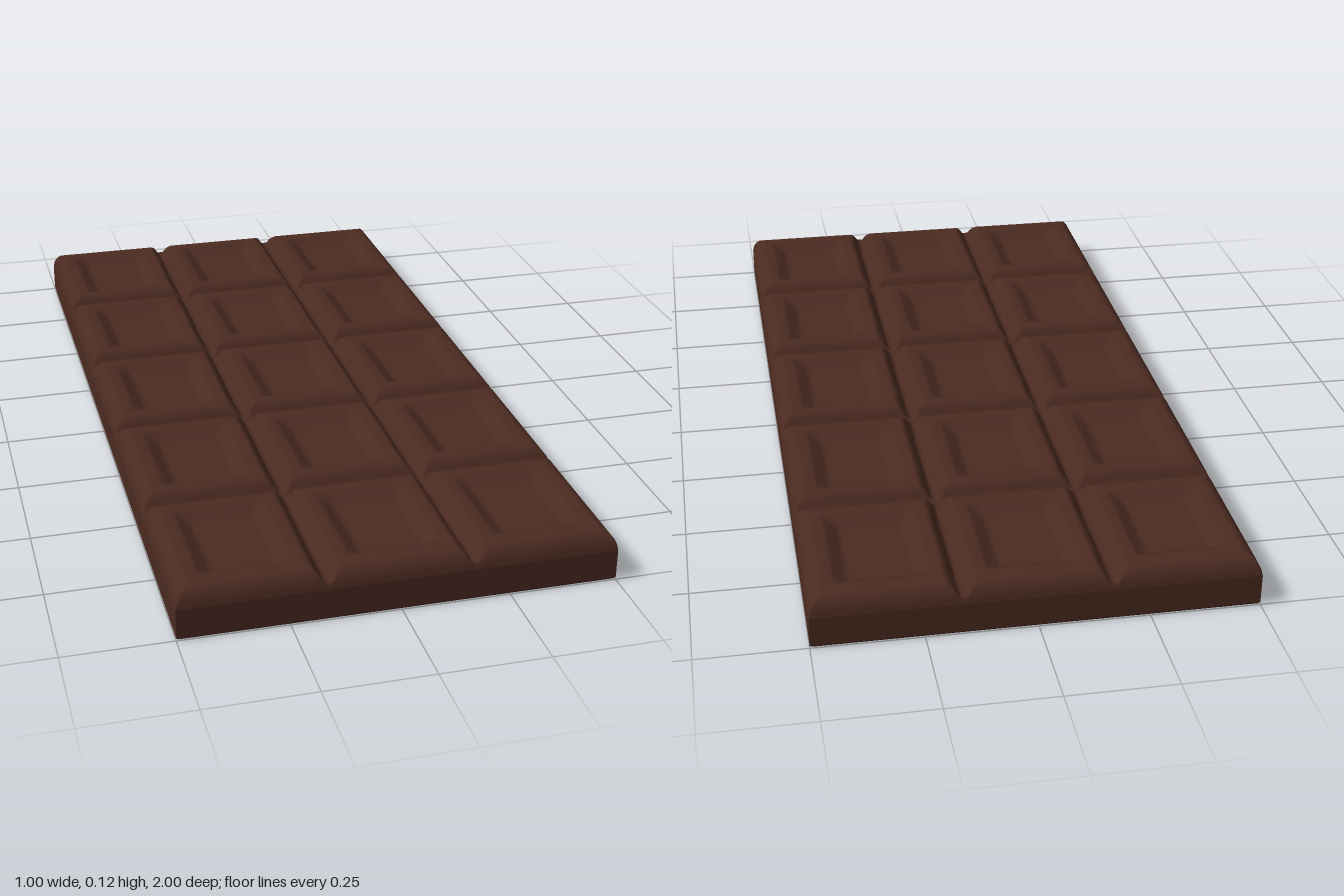
import * as THREE from 'three';

const W = 1, L = 2, COLS = 3, ROWS = 5;

// Distances inward from a tile's edge, with heights beside a groove or the bar's rim
const INSET = [0, 0.003, 0.008, 0.015, 0.022, 0.032, 0.037, 0.058, 0.066, 0.088, 0.096, 0.104];
const GROOVE = [0.09, 0.09, 0.091, 0.101, 0.113, 0.12];
const RIM = [0.075, 0.09, 0.101, 0.11, 0.116, 0.12];
// Heights of the sunken panel inside each tile
const PANEL = [0.12, 0.12, 0.117, 0.103, 0.1, 0.1];
const N = INSET.length;

// Grid lines along one axis: position, step inward, and height profile
function gridLines(length, count) {
  const size = length / count, lines = [];
  for (let t = 0; t < count; t++) {
    const start = -length / 2 + t * size;
    for (let k = 0; k < N; k++) {
      lines.push({ p: start + INSET[k], k, near: true, edge: t === 0 ? RIM : GROOVE });
    }
    for (let k = N - 1; k >= 0; k--) {
      if (k === 0 && t < count - 1) continue; // shared with the next tile
      lines.push({ p: start + size - INSET[k], k, near: false, edge: t === count - 1 ? RIM : GROOVE });
    }
  }
  return lines;
}

function heightAt(a, b) {
  const k = Math.min(a.k, b.k);
  if (k >= 6) return PANEL[k - 6];
  return Math.min(a.edge[a.k] ?? 0.12, b.edge[b.k] ?? 0.12);
}

// Moulded top with grooves and sunken panels
function tileSurface() {
  const xs = gridLines(W, COLS), zs = gridLines(L, ROWS);
  const pos = [], index = [];
  for (const b of zs) for (const a of xs) pos.push(a.p, heightAt(a, b), b.p);
  for (let j = 0; j < zs.length - 1; j++) {
    for (let i = 0; i < xs.length - 1; i++) {
      const a = j * xs.length + i, b = a + 1, c = a + xs.length, d = c + 1;
      // Diagonals follow the mitred corners
      if (xs[i].near === zs[j].near) index.push(a, c, d, a, d, b);
      else index.push(a, c, b, b, c, d);
    }
  }
  const g = new THREE.BufferGeometry();
  g.setAttribute('position', new THREE.Float32BufferAttribute(pos, 3));
  g.setIndex(index);
  g.computeVertexNormals();
  return g;
}

// Flat walls, small lower bevel and underside
function baseShell() {
  const ring = (inset, y) => [[1, 1], [1, -1], [-1, -1], [-1, 1]].map(
    ([x, z]) => [x * (W / 2 - inset), y, z * (L / 2 - inset)]);
  const rings = [ring(0, 0.075), ring(0, 0.006), ring(0.005, 0)];
  const pos = [];
  const quad = (a, b, c, d) => pos.push(...a, ...b, ...c, ...a, ...c, ...d);
  for (let r = 0; r < 2; r++) {
    for (let i = 0; i < 4; i++) {
      const n = (i + 1) % 4;
      quad(rings[r][i], rings[r + 1][i], rings[r + 1][n], rings[r][n]);
    }
  }
  const [a, b, c, d] = rings[2];
  quad(a, d, c, b);
  const g = new THREE.BufferGeometry();
  g.setAttribute('position', new THREE.Float32BufferAttribute(pos, 3));
  g.computeVertexNormals();
  return g;
}

export function createModel() {
  const chocolate = new THREE.MeshStandardMaterial({ color: 0x4b2b21 });
  chocolate.name = 'dark chocolate';
  const group = new THREE.Group();
  group.name = 'chocolateBar';
  for (const [name, geometry] of [['mouldedTop', tileSurface()], ['base', baseShell()]]) {
    const mesh = new THREE.Mesh(geometry, chocolate);
    mesh.name = name;
    group.add(mesh);
  }
  return group;
}
